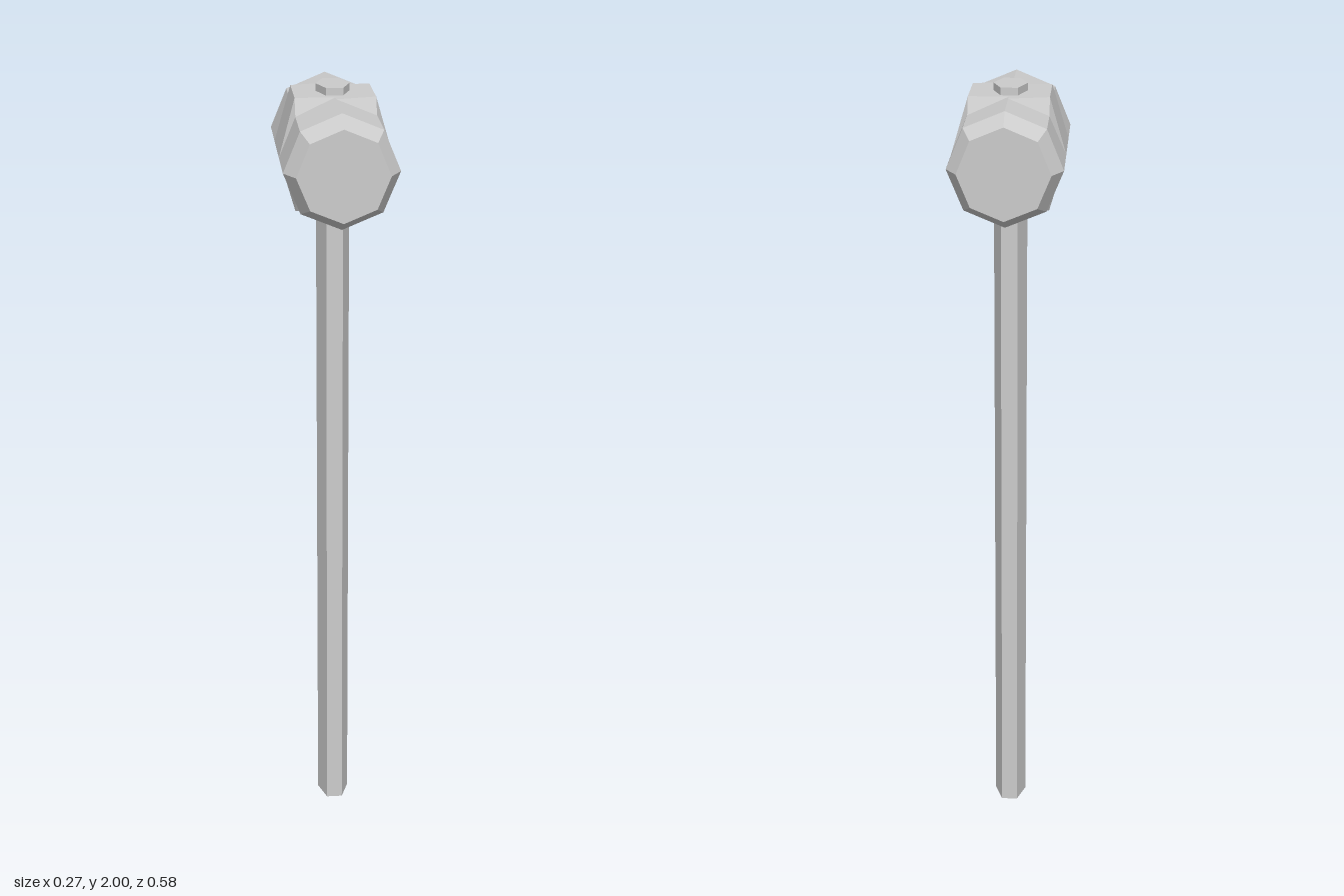
import * as THREE from 'three';

const HEAD_Y = 1.845;
const R = 0.137;   // head radius
const FACE = 0.11; // striking face radius
const C = R * Math.SQRT1_2;

// Octagon with its corners on the axes
const octagon = (r) => Array.from({ length: 8 }, (_, i) => {
  const a = (i * Math.PI) / 4;
  return [r * Math.cos(a), r * Math.sin(a)];
});

// Square-shouldered section of the middle block
const block = [[R, 0], [C, R], [0, R], [-C, R], [-R, 0], [-C, -R], [0, -R], [C, -R]];

// Skins cross-sections [z, outline] from back to front, capping both ends
function loft(sections) {
  const pos = [];
  const rings = sections.map(([z, pts]) => pts.map(([x, y]) => [x, y, z]));
  const tri = (...corners) => corners.forEach((p) => pos.push(...p));
  const n = rings[0].length;
  const first = rings[0], last = rings[rings.length - 1];
  for (let i = 0; i < n; i++) {
    const j = (i + 1) % n;
    for (let k = 0; k < rings.length - 1; k++) {
      const a = rings[k], b = rings[k + 1];
      tri(a[i], a[j], b[j]);
      tri(a[i], b[j], b[i]);
    }
    tri([0, 0, last[0][2]], last[i], last[j]);
    tri([0, 0, first[0][2]], first[j], first[i]);
  }
  const geo = new THREE.BufferGeometry();
  geo.setAttribute('position', new THREE.Float32BufferAttribute(pos, 3));
  geo.computeVertexNormals();
  return geo;
}

export function createModel() {
  const model = new THREE.Group();
  model.name = 'sledgehammer';
  const material = new THREE.MeshStandardMaterial({ color: 0xcccccc, flatShading: true });

  // Head: chamfered octagonal ends around a raised block
  const head = new THREE.Mesh(loft([
    [-0.289, octagon(FACE)],
    [-0.241, octagon(R)],
    [-0.107, octagon(R)],
    [-0.085, block],
    [0.066, block],
    [0.089, octagon(R)],
    [0.240, octagon(R)],
    [0.287, octagon(FACE)],
  ]), material);
  head.name = 'head';
  head.position.y = HEAD_Y;
  model.add(head);

  // Handle: stretched hexagonal shaft through the head, pointed at the bottom
  const profile = [[0, 0.005], [0.041, 0.024], [0.041, 2], [0, 2]]
    .map(([r, y]) => new THREE.Vector2(r, y));
  const handle = new THREE.Mesh(
    new THREE.LatheGeometry(profile, 6, Math.PI / 2).scale(1, 1, 1.64), material);
  handle.name = 'handle';
  handle.position.z = -0.012;
  model.add(handle);

  return model;
}
